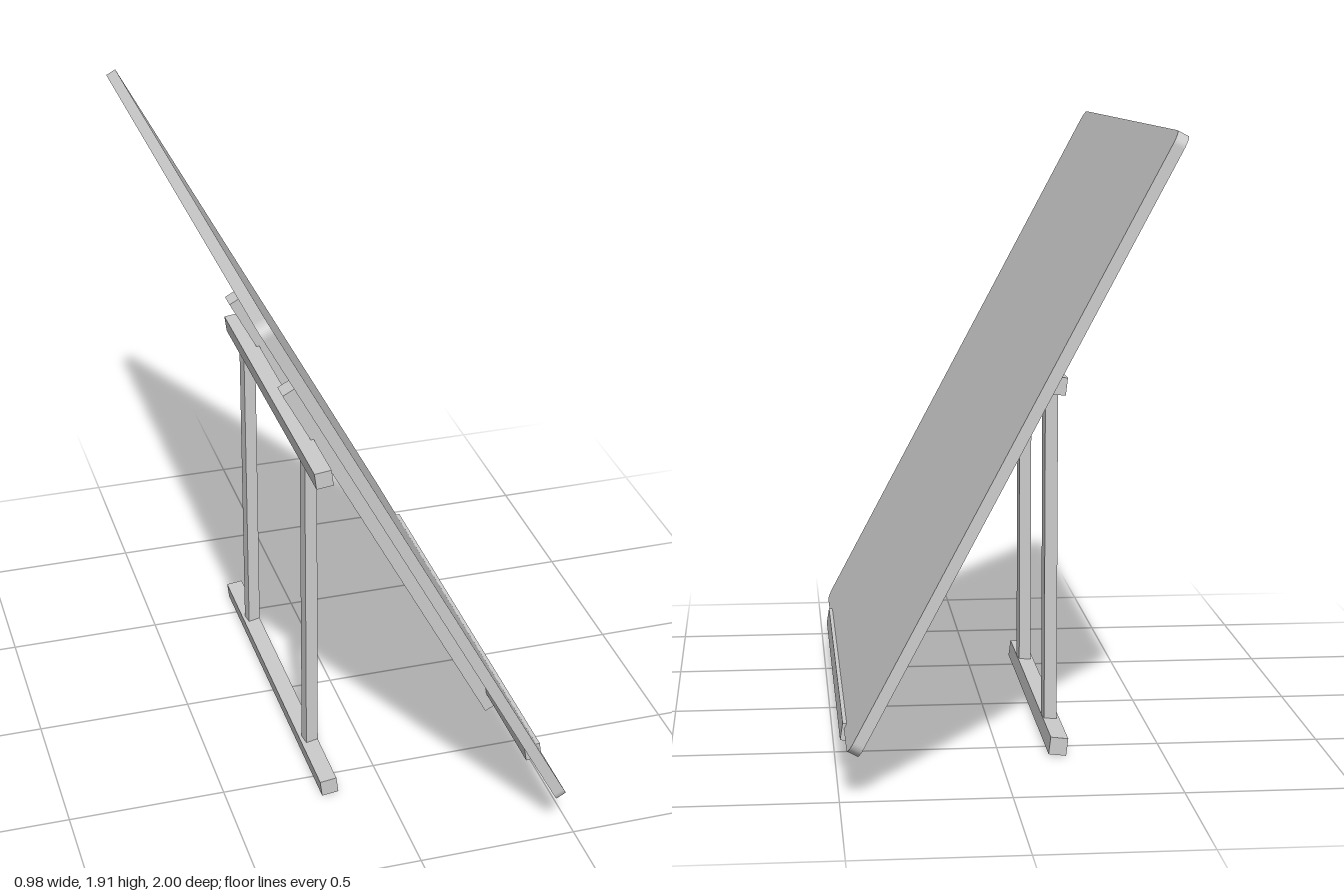
import * as THREE from 'three';

const deg = THREE.MathUtils.degToRad;
const material = new THREE.MeshStandardMaterial({ color: 0xcccccc });

function bar(parent, name, size, position) {
  const mesh = new THREE.Mesh(new THREE.BoxGeometry(...size), material);
  mesh.name = name;
  mesh.position.set(...position);
  parent.add(mesh);
  return mesh;
}

// Square slab with rounded corners, standing in the yz plane with its front at x = 0
function boardGeometry(size, thickness, r) {
  const h = size / 2;
  const s = new THREE.Shape();
  s.moveTo(-h + r, 0);
  s.lineTo(h - r, 0);
  s.absarc(h - r, r, r, -Math.PI / 2, 0);
  s.lineTo(h, size - r);
  s.absarc(h - r, size - r, r, 0, Math.PI / 2);
  s.lineTo(-h + r, size);
  s.absarc(-h + r, size - r, r, Math.PI / 2, Math.PI);
  s.lineTo(-h, r);
  s.absarc(-h + r, r, r, Math.PI, Math.PI * 1.5);
  return new THREE.ExtrudeGeometry(s, { depth: thickness, bevelEnabled: false, curveSegments: 6 })
    .rotateY(Math.PI / 2)
    .translate(-thickness, 0, 0);
}

export function createModel() {
  const model = new THREE.Group();
  model.name = 'easel';

  // Leaning board with two support rails on its back
  const leaning = new THREE.Group();
  leaning.name = 'leaningPanel';
  leaning.position.set(0.477, 0.14, 0);
  leaning.rotation.z = deg(28);
  model.add(leaning);

  const board = new THREE.Mesh(boardGeometry(2, 0.035, 0.04), material);
  board.name = 'board';
  leaning.add(board);

  for (const side of [-1, 1]) {
    bar(leaning, 'backRail', [0.053, 1.467, 0.06], [-0.0615, 0.6545, side * 0.325]);
    // Upright posts of the rear stand, turned slightly about their axis
    bar(model, 'rearPost', [0.04, 1.07, 0.04], [-0.177, 0.585, side * 0.37]).rotation.y = deg(7);
  }

  // Ledge and the crossbars of the rear stand, all slightly tilted
  const crossbars = [
    ['ledge', [0.052, 0.052, 1.47], [0.459, 0.128, 0], 9],
    ['topCrossbar', [0.054, 0.054, 1.1], [-0.179, 1.131, 0], 7],
    ['footCrossbar', [0.054, 0.054, 1.21], [-0.179, 0.03, 0], 7],
  ];
  for (const [name, size, position, tilt] of crossbars) {
    bar(model, name, size, position).rotation.z = deg(tilt);
  }

  return model;
}
